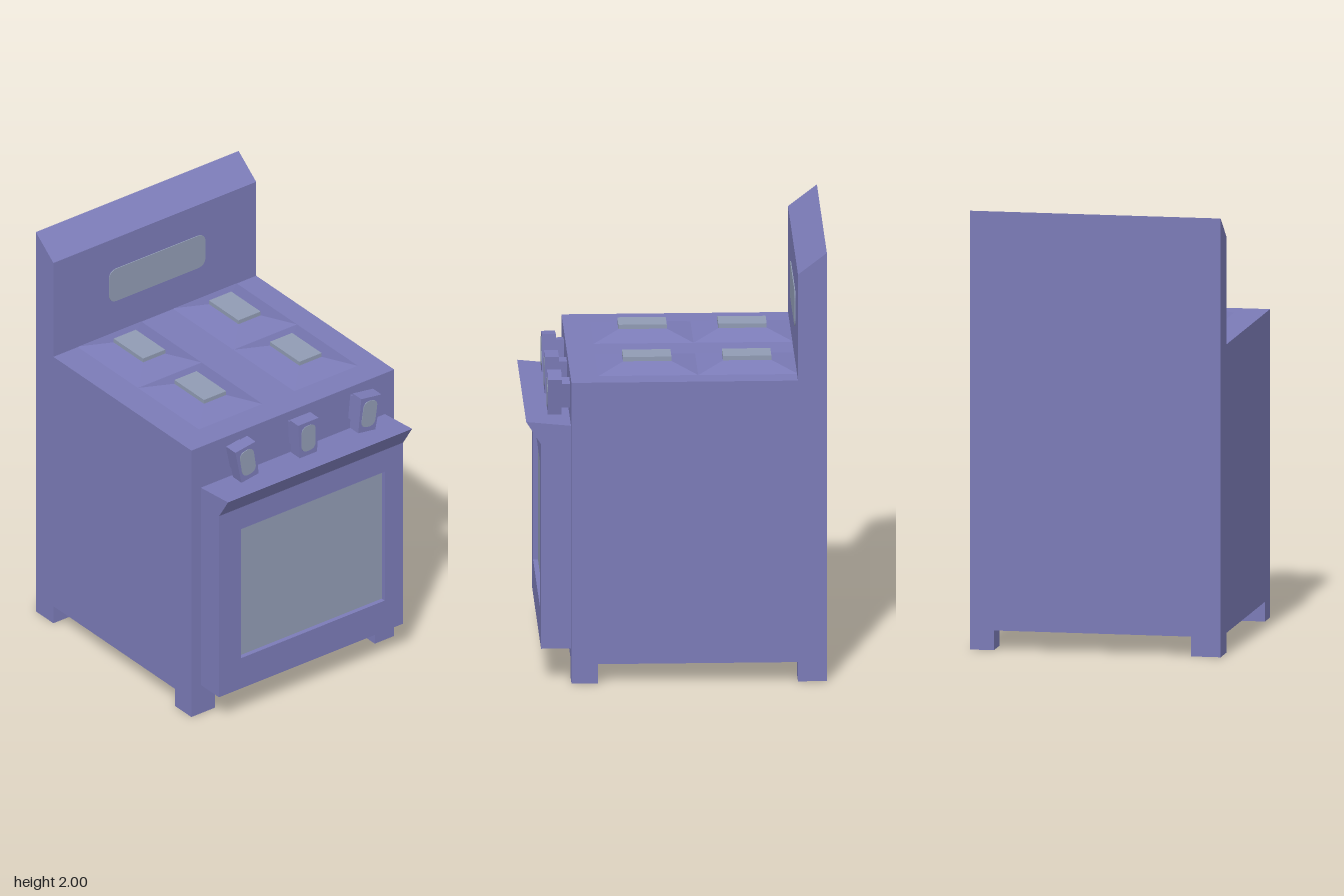
import * as THREE from 'three';

const enamel = new THREE.MeshStandardMaterial({ color: 0x7b7bb7 });
enamel.name = 'periwinkle enamel';
const glass = new THREE.MeshStandardMaterial({ color: 0x909bb3 });
glass.name = 'grey glass';

function shapeOf(points) {
  return new THREE.Shape(points.map(([x, y]) => new THREE.Vector2(x, y)));
}

function extrude(shape, depth) {
  return new THREE.ExtrudeGeometry(shape, { depth, bevelEnabled: false, curveSegments: 6 });
}

// Side profile given as [z, y], swept from x0 to x1
function sweepAcross(profile, x0, x1) {
  const geometry = extrude(shapeOf(profile.map(([z, y]) => [-z, y])), x1 - x0);
  return geometry.rotateY(Math.PI / 2).translate(x0, 0, 0);
}

function boxBetween(x0, x1, y0, y1, z0, z1) {
  return new THREE.BoxGeometry(x1 - x0, y1 - y0, z1 - z0)
    .translate((x0 + x1) / 2, (y0 + y1) / 2, (z0 + z1) / 2);
}

function roundedRect(w, h, r) {
  const s = new THREE.Shape();
  const x = w / 2, y = h / 2;
  s.moveTo(-x + r, -y);
  s.lineTo(x - r, -y);
  s.quadraticCurveTo(x, -y, x, -y + r);
  s.lineTo(x, y - r);
  s.quadraticCurveTo(x, y, x - r, y);
  s.lineTo(-x + r, y);
  s.quadraticCurveTo(-x, y, -x, y - r);
  s.lineTo(-x, -y + r);
  s.quadraticCurveTo(-x, -y, -x + r, -y);
  return s;
}

// Box whose top is narrowed to the plate size
function frustum(w, d, topW, topD, h) {
  const geometry = new THREE.BoxGeometry(w, h, d).toNonIndexed();
  const p = geometry.attributes.position;
  for (let i = 0; i < p.count; i++) {
    if (p.getY(i) > 0) {
      p.setX(i, p.getX(i) * topW / w);
      p.setZ(i, p.getZ(i) * topD / d);
    }
  }
  geometry.computeVertexNormals();
  return geometry;
}

export function createModel() {
  const model = new THREE.Group();
  model.name = 'stove';
  const add = (name, geometry, material = enamel, parent = model) => {
    const mesh = new THREE.Mesh(geometry, material);
    mesh.name = name;
    parent.add(mesh);
    return mesh;
  };

  // Body with slanted backsplash
  add('body', sweepAcross([
    [-0.675, 0.09], [0.475, 0.09], [0.475, 1.405],
    [-0.545, 1.405], [-0.545, 1.9], [-0.675, 2],
  ], -0.575, 0.575));

  // Legs
  for (const [z0, z1] of [[0.355, 0.475], [-0.675, -0.545]]) {
    add('rightLeg', boxBetween(-0.575, -0.44, 0, 0.09, z0, z1));
    add('leftLeg', boxBetween(0.465, 0.575, 0, 0.09, z0, z1));
  }

  // Oven door frame around the recessed window
  const frame = shapeOf([[-0.522, 0.15], [0.522, 0.15], [0.522, 1.105], [-0.522, 1.105]]);
  frame.holes.push(new THREE.Path([[-0.398, 0.31], [-0.398, 0.99], [0.418, 0.99], [0.418, 0.31]]
    .map(([x, y]) => new THREE.Vector2(x, y))));
  add('doorFrame', extrude(frame, 0.135).translate(0, 0, 0.475));
  add('doorWindow', boxBetween(-0.398, 0.418, 0.31, 0.99, 0.475, 0.588), glass);
  add('doorHandle', sweepAcross([
    [0.475, 1.105], [0.61, 1.105], [0.677, 1.21], [0.475, 1.19],
  ], -0.522, 0.522));

  // Display on the backsplash
  add('display', extrude(roundedRect(0.545, 0.17, 0.045), 0.004)
    .translate(0.012, 1.655, -0.545), glass);

  // Burners: shallow raised mound with a plate on top
  for (const x of [-0.256, 0.285]) {
    for (const z of [0.125, -0.325]) {
      const burner = new THREE.Group();
      burner.name = 'burner';
      burner.position.set(x, 1.405, z);
      model.add(burner);
      add('burnerMound', frustum(0.36, 0.45, 0.126, 0.218, 0.035).translate(0, 0.0175, 0), enamel, burner);
      add('burnerPlate', new THREE.BoxGeometry(0.126, 0.02, 0.218).translate(0, 0.045, 0), glass, burner);
    }
  }

  // Knobs: tapered blocks on stems, the outer two leaning outwards
  for (const [x, tilt] of [[-0.332, 0.15], [0.012, 0], [0.356, -0.15]]) {
    const knob = new THREE.Group();
    knob.name = 'knob';
    knob.position.set(x, 1.3, 0.475);
    knob.rotation.z = tilt;
    model.add(knob);
    const outline = (s) => shapeOf([
      [-0.049 * s, -0.087 * s], [0.049 * s, -0.087 * s], [0.058 * s, 0.087 * s], [-0.058 * s, 0.087 * s],
    ]);
    add('knobStem', extrude(outline(0.68), 0.037), enamel, knob);
    add('knobGrip', extrude(outline(1), 0.063).translate(0, 0, 0.037), enamel, knob);
    add('knobMark', extrude(roundedRect(0.078, 0.132, 0.035), 0.003).translate(0, 0.003, 0.1), glass, knob);
  }

  return model;
}
